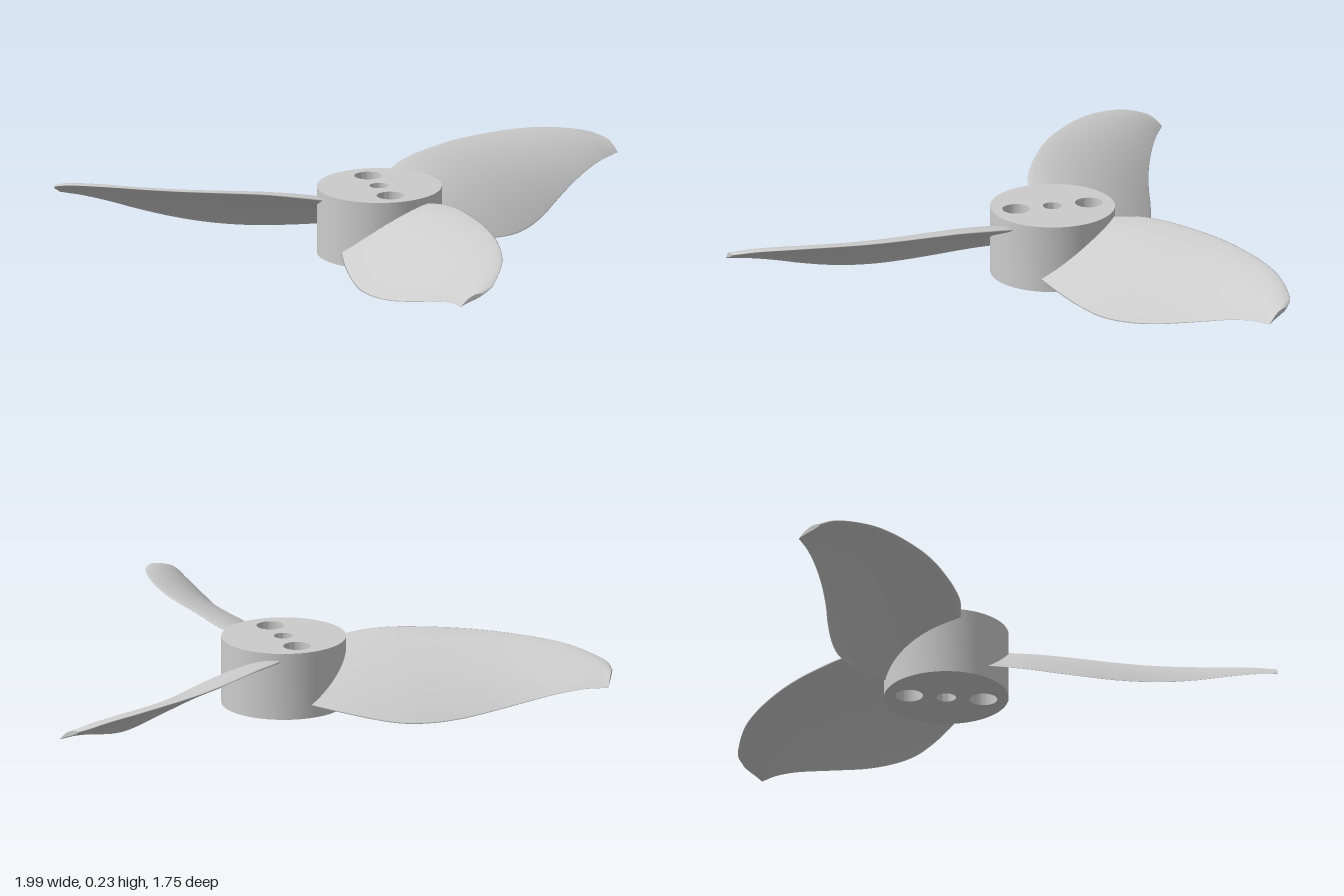
import * as THREE from 'three';
import { toCreasedNormals } from 'three/addons/utils/BufferGeometryUtils.js';

const CENTRE = { x: -0.017, z: -0.257 };
const material = new THREE.MeshStandardMaterial({ color: 0xcccccc });

// Round hub with a centre bore and two bolt holes
function createHub() {
  const shape = new THREE.Shape().absarc(0, 0, 0.212, 0, Math.PI * 2);
  for (const [y, r] of [[0, 0.033], [0.127, 0.047], [-0.127, 0.047]]) {
    shape.holes.push(new THREE.Path().absarc(0, y, r, 0, Math.PI * 2, true));
  }
  const geometry = new THREE.ExtrudeGeometry(shape, { depth: 0.234, bevelEnabled: false, curveSegments: 40 });
  geometry.rotateX(-Math.PI / 2);
  const hub = new THREE.Mesh(toCreasedNormals(geometry, 0.6), material);
  hub.name = 'hub';
  return hub;
}

// Raised leading edge and low trailing edge, root to tip (x, y, z)
const toCurve = (points) => new THREE.CatmullRomCurve3(
  points.map(([x, y, z]) => new THREE.Vector3(x - CENTRE.x, y, z - CENTRE.z)));
const leadingEdge = toCurve([
  [0.105, 0.205, -0.1], [0.145, 0.222, 0], [0.163, 0.23, 0.1], [0.174, 0.231, 0.2],
  [0.181, 0.23, 0.3], [0.18, 0.227, 0.4], [0.169, 0.223, 0.5], [0.15, 0.218, 0.6],
  [0.12, 0.209, 0.7], [0.07, 0.192, 0.8], [0.036, 0.177, 0.85], [0, 0.163, 0.87]]);
const trailingEdge = toCurve([
  [-0.19, 0.045, -0.14], [-0.213, 0.03, -0.02], [-0.225, 0.014, 0.1], [-0.224, 0.006, 0.2],
  [-0.204, 0.009, 0.3], [-0.174, 0.022, 0.4], [-0.139, 0.044, 0.5], [-0.111, 0.07, 0.6],
  [-0.092, 0.097, 0.7], [-0.082, 0.115, 0.79], [-0.08, 0.12, 0.84], [-0.08, 0.123, 0.87]]);

// Blade lofted from thin, arched sections spanning the two edges
function createBladeGeometry() {
  const spans = 66, chords = 16, ring = chords * 2;
  const positions = [], index = [];
  for (let i = 0; i <= spans; i++) {
    const t = i / spans;
    const a = leadingEdge.getPoint(t), b = trailingEdge.getPoint(t);
    const width = a.distanceTo(b);
    const normal = new THREE.Vector3(a.y - b.y, 0, 0);
    normal.set(-(a.y - b.y), a.x - b.x, 0).normalize();
    for (let j = 0; j < ring; j++) {
      const upper = j <= chords;
      const u = (1 - Math.cos(Math.PI * (upper ? j : ring - j) / chords)) / 2;
      const arch = 4 * u * (1 - u);
      const half = (0.016 - 0.008 * t) * Math.sin(Math.PI * Math.pow(u, 0.65));
      const p = a.clone().lerp(b, u);
      p.addScaledVector(normal, arch * width * 0.06 + (upper ? half : -half));
      p.z += arch * 0.05 * Math.pow(1 - t, 6); // root follows the round hub
      positions.push(p.x, p.y, p.z);
    }
  }
  for (let i = 0; i < spans; i++) {
    for (let j = 0; j < ring; j++) {
      const k = (j + 1) % ring;
      const p = i * ring + j, q = i * ring + k;
      index.push(p, q, q + ring, p, q + ring, p + ring);
    }
  }
  // Flat tip cap with its own vertices
  const cap = positions.length / 3;
  positions.push(...positions.slice(-ring * 3));
  for (let j = 1; j < chords; j++) {
    const low = cap + ring - j;
    index.push(cap + j, cap + j + 1, low, cap + j + 1, low - 1, low);
  }
  index.push(cap, cap + 1, cap + ring - 1);
  const geometry = new THREE.BufferGeometry();
  geometry.setAttribute('position', new THREE.Float32BufferAttribute(positions, 3));
  geometry.setIndex(index);
  geometry.computeVertexNormals();
  return geometry;
}

export function createModel() {
  const propeller = new THREE.Group();
  propeller.name = 'propeller';
  propeller.position.set(CENTRE.x, 0, CENTRE.z);
  propeller.add(createHub());
  const geometry = createBladeGeometry();
  ['frontBlade', 'leftBlade', 'rightBlade'].forEach((name, i) => {
    const blade = new THREE.Mesh(geometry, material);
    blade.name = name;
    blade.rotation.y = i * Math.PI * 2 / 3;
    propeller.add(blade);
  });
  const model = new THREE.Group();
  model.add(propeller);
  return model;
}
